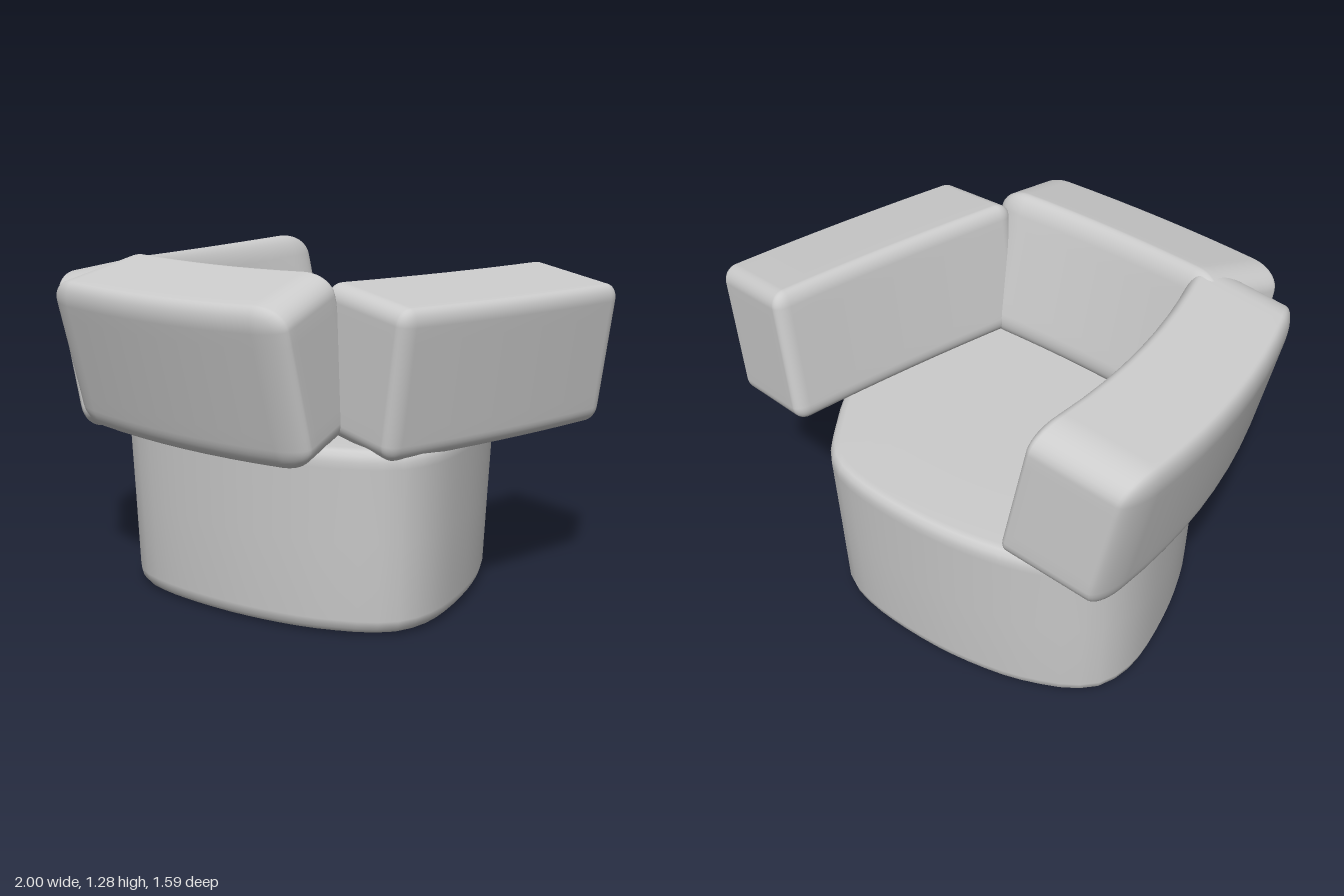
import * as THREE from 'three';
import { mergeVertices } from 'three/addons/utils/BufferGeometryUtils.js';

const material = new THREE.MeshStandardMaterial({ color: 0xcccccc });

// Weld the vertices and shade the whole surface smoothly.
function smooth(geometry) {
  geometry.deleteAttribute('normal');
  geometry.deleteAttribute('uv');
  const welded = mergeVertices(geometry, 1e-4);
  welded.computeVertexNormals();
  return welded;
}

// Soft block: x is length, y height, z thickness (outer face at +z).
// radii rounds the edges, bend pulls both ends inward, taper shortens the inner face.
function cushion(name, size, radii, bend, taper) {
  const edge = 5, middle = 8, n = edge * 2 + middle;
  const geometry = new THREE.BoxGeometry(2, 2, 2, n, n, n);
  const pos = geometry.attributes.position;
  const half = size.map((s) => s / 2);
  // Grid lines are gathered in the rounded edges.
  const place = (t, h, r) => {
    const i = Math.round(((t + 1) / 2) * n);
    if (i <= edge) return -h + (r * i) / edge;
    if (i >= n - edge) return h - (r * (n - i)) / edge;
    return (h - r) * (((i - edge) / middle) * 2 - 1);
  };
  for (let i = 0; i < pos.count; i++) {
    const p = [pos.getX(i), pos.getY(i), pos.getZ(i)].map((t, a) => place(t, half[a], radii[a]));
    const inner = p.map((v, a) => THREE.MathUtils.clamp(v, radii[a] - half[a], half[a] - radii[a]));
    const d = p.map((v, a) => (v - inner[a]) / radii[a]);
    const len = Math.hypot(...d) || 1;
    const q = inner.map((v, a) => v + (d[a] / len) * radii[a]);
    q[0] *= 1 - taper * (0.5 - q[2] / size[2]);
    q[2] += bend * (half[0] ** 2 / 3 - q[0] ** 2);
    pos.setXYZ(i, ...q);
  }
  const mesh = new THREE.Mesh(smooth(geometry), material);
  mesh.name = name;
  mesh.rotation.order = 'YXZ'; // lean outward first, then turn
  return mesh;
}

// Slightly tapering seat block; its outline repeats itself after half a turn.
function seatBase() {
  const halfOutline = [
    [0.83, 0.28], [0.8, 0.43], [0.72, 0.515], [0.61, 0.58], [0.48, 0.635], [0.18, 0.7],
    [-0.2, 0.705], [-0.36, 0.655], [-0.52, 0.485], [-0.63, 0.33], [-0.765, 0.02],
  ];
  const outline = [1, -1].flatMap((s) => halfOutline.map(([x, z]) => new THREE.Vector3(s * x, 0, s * z)));
  const segments = 64;
  const ring = new THREE.CatmullRomCurve3(outline, true).getSpacedPoints(segments);
  const profile = [
    [0, 0], [0.6, 0], [0.9, 0.004], [0.93, 0.012], [0.95, 0.03], [0.962, 0.06],
    [0.98, 0.35], [0.998, 0.62], [1, 0.645], [0.992, 0.667], [0.975, 0.682],
    [0.945, 0.689], [0.6, 0.692], [0, 0.693],
  ].map(([r, y]) => new THREE.Vector2(r, y));
  const geometry = new THREE.LatheGeometry(profile, segments);
  const pos = geometry.attributes.position;
  for (let i = 0; i < pos.count; i++) {
    const point = ring[segments - Math.floor(i / profile.length)];
    const r = profile[i % profile.length].x;
    pos.setX(i, point.x * r - 0.02);
    pos.setZ(i, point.z * r - 0.085);
  }
  const mesh = new THREE.Mesh(smooth(geometry), material);
  mesh.name = 'seatBase';
  return mesh;
}

export function createModel() {
  const chair = new THREE.Group();
  chair.name = 'armchair';
  chair.add(seatBase());

  // Backrest leaning outward, narrower on the inside
  const back = cushion('backrest', [1.21, 0.6, 0.405], [0.13, 0.085, 0.05], 0.12, 0.13);
  back.position.set(-0.02, 0.945, 0.525);
  back.rotation.x = 0.26;
  chair.add(back);

  // Nearly straight left arm
  const left = cushion('leftArm', [1.11, 0.54, 0.42], [0.06, 0.06, 0.04], 0.055, 0);
  left.position.set(0.7, 0.945, -0.135);
  left.rotation.set(0.15, Math.PI / 2 - 0.15, 0);
  chair.add(left);

  // Longer, curved right arm
  const right = cushion('rightArm', [1.3, 0.63, 0.42], [0.15, 0.1, 0.045], 0.18, 0);
  right.position.set(-0.673, 0.917, -0.045);
  right.rotation.set(0.22, -Math.PI / 2 + 0.18, 0);
  chair.add(right);

  return chair;
}
